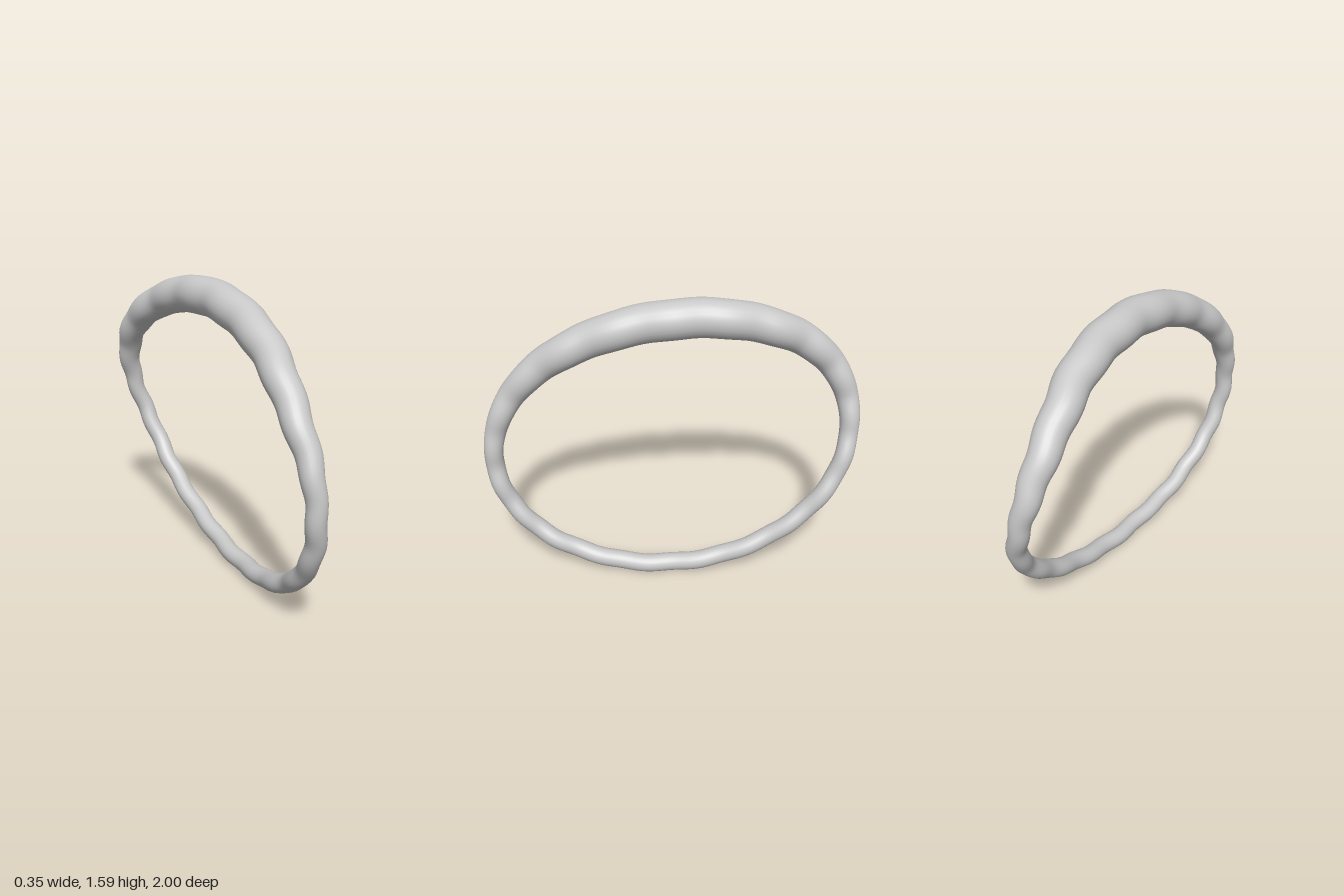
import * as THREE from 'three';

// Sideways drift of the band, sampled every 15 degrees from the front, over the top, round the back
const DRIFT = [
  -0.02, -0.03, -0.042, -0.03, -0.005, 0.005, 0.005, -0.012,
  -0.04, -0.085, -0.103, -0.088, -0.045, 0.015, 0.06, 0.085,
  0.105, 0.113, 0.107, 0.095, 0.068, 0.047, 0.02, 0,
];
const driftCurve = new THREE.CatmullRomCurve3(
  DRIFT.map((x, i) => new THREE.Vector3(x, Math.cos(i * Math.PI / 12), Math.sin(i * Math.PI / 12))), true);

// Skewed ellipse seen from the side, with a gentle hand-formed wobble in x
class BandPath extends THREE.Curve {
  getPoint(u, target = new THREE.Vector3()) {
    const t = (u % 1) * Math.PI * 2;
    const x = driftCurve.getPoint(u % 1).x + 0.005 * Math.sin(21 * t);
    return target.set(x, 0.774 + 0.7225 * Math.sin(t - 0.118), 0.95 * Math.cos(t));
  }
}

// Slim band that swells to double thickness at the top
function bandRadius(u) {
  const s = Math.max(0, Math.sin(u * Math.PI * 2 - 0.05));
  return 0.05 + 0.05 * Math.pow(s, 1.2);
}

export function createModel() {
  const group = new THREE.Group();
  group.name = 'ring';
  const grey = new THREE.MeshStandardMaterial({ color: 0xc8c8c8 });
  grey.name = 'light grey';

  // Tube whose rings are resized to the local radius
  const path = new BandPath();
  const rings = 240, sides = 24;
  const geometry = new THREE.TubeGeometry(path, rings, 0.05, sides, true);
  const { position, normal } = geometry.attributes;
  for (let i = 0; i <= rings; i++) {
    const u = path.getUtoTmapping((i % rings) / rings);
    const centre = path.getPoint(u);
    const r = bandRadius(u);
    for (let j = 0; j <= sides; j++) {
      const k = i * (sides + 1) + j;
      position.setXYZ(k,
        centre.x + normal.getX(k) * r,
        centre.y + normal.getY(k) * r,
        centre.z + normal.getZ(k) * r);
    }
  }

  const band = new THREE.Mesh(geometry, grey);
  band.name = 'band';
  group.add(band);
  return group;
}
